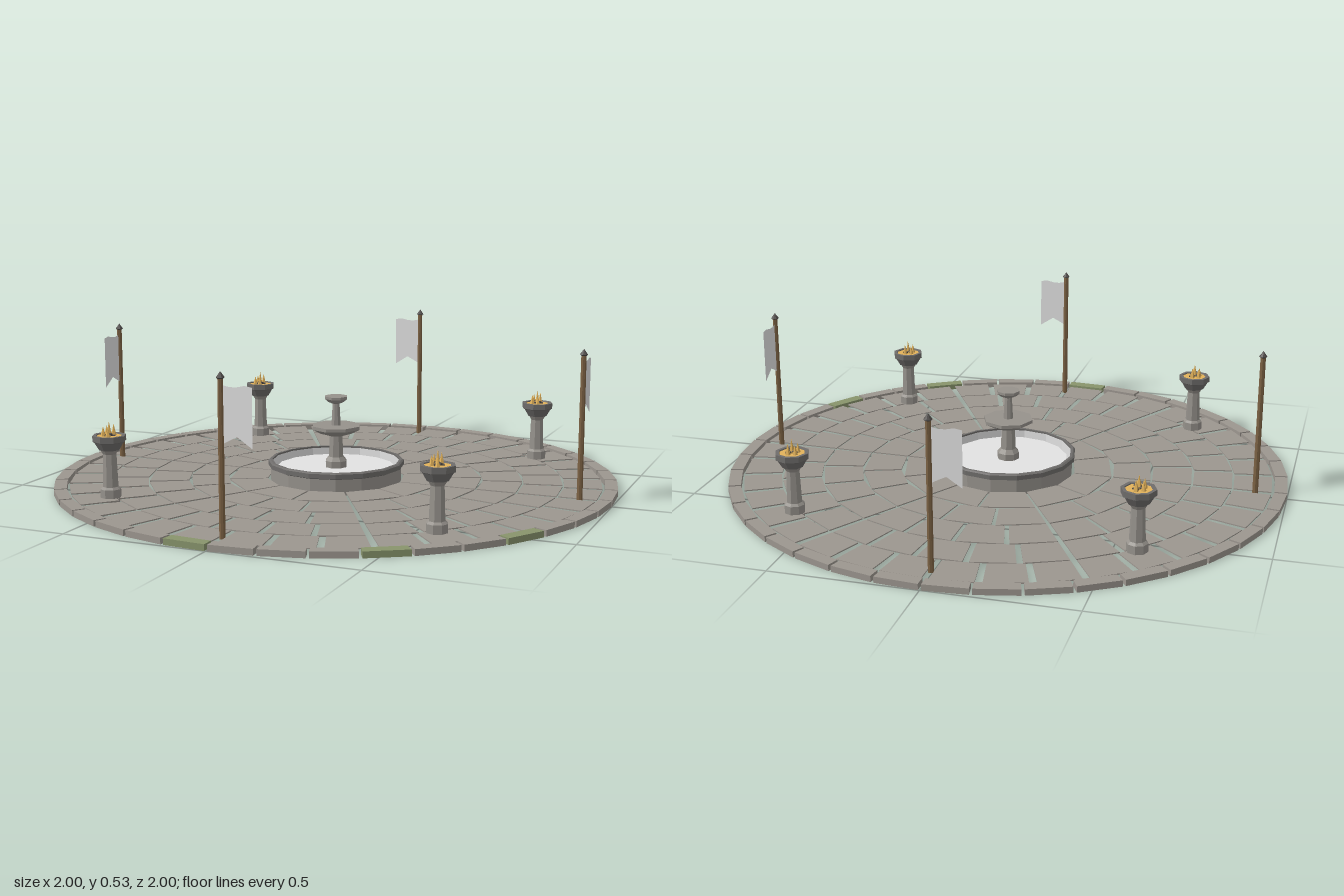
import * as THREE from 'three';
import { mergeGeometries } from 'three/addons/utils/BufferGeometryUtils.js';

const mat = (name, color, opts = {}) => {
  const m = new THREE.MeshStandardMaterial({ color, flatShading: true, ...opts });
  m.name = name;
  return m;
};

export function createModel() {
  const paving = mat('paving stone', 0x9c968f);
  const stone = mat('carved stone', 0x96928c);
  const darkStone = mat('dark stone', 0x6f6d6b);
  const moss = mat('moss', 0x88946c);
  const pale = mat('pale water and cloth', 0xe2e2e2, { side: THREE.DoubleSide });
  const wood = mat('pole wood', 0x7c6244);
  const iron = mat('iron', 0x504c4a);
  const flame = mat('flame', 0xe2b25a);

  const model = new THREE.Group();
  model.name = 'fountainPlaza';
  const add = (parent, name, geo, material, x = 0, y = 0, z = 0) => {
    const m = new THREE.Mesh(geo, material);
    m.name = name;
    m.position.set(x, y, z);
    parent.add(m);
    return m;
  };
  const group = (name) => {
    const g = new THREE.Group();
    g.name = name;
    model.add(g);
    return g;
  };
  // Faceted turned part from [radius, y] pairs, bottom to top
  const turned = (pts, sides) =>
    new THREE.LatheGeometry(pts.map(([r, y]) => new THREE.Vector2(r, y)), sides);

  // Wedge-shaped slab between two radii, two angles and two heights
  const slab = (r0, r1, a0, a1, y0, y1) => {
    const p = (r, a) => new THREE.Vector2(r * Math.cos(a), r * Math.sin(a));
    const shape = new THREE.Shape([p(r0, a0), p(r1, a0), p(r1, a1), p(r0, a1)]);
    return new THREE.ExtrudeGeometry(shape, { depth: y1 - y0, bevelEnabled: false })
      .rotateX(Math.PI / 2).translate(0, y1, 0);
  };

  // Five rings of thin paving, six more stones in each
  const radii = [0.247, 0.387, 0.527, 0.672, 0.814, 0.952];
  for (let i = 0; i < 5; i++) {
    const n = 12 + 6 * i, step = (Math.PI * 2) / n, gap = 0.013;
    const tiles = [];
    for (let k = 0; k < n; k++) {
      tiles.push(slab(radii[i], radii[i + 1] - 0.006, k * step + gap, (k + 1) * step - gap, 0.012, 0.016));
    }
    add(model, `pavingRing${i + 1}`, mergeGeometries(tiles), paving);
  }

  // Kerb of forty stones, three of them mossy
  const kerb = [], mossy = [];
  const kerbStep = Math.PI / 20;
  for (let k = 0; k < 40; k++) {
    const green = [3, 6, 10].includes(k);
    (green ? mossy : kerb).push(
      slab(0.956, 1, k * kerbStep + 0.005, (k + 1) * kerbStep - 0.005, 0, 0.021));
  }
  add(model, 'kerb', mergeGeometries(kerb), paving);
  add(model, 'mossyKerbStones', mergeGeometries(mossy), moss);

  // Fountain: open basin with a pale lining, rim, water and two tiers of bowls
  const fountain = group('fountain');
  add(fountain, 'basinWall', turned([[0.234, 0], [0.234, 0.06]], 16), stone);
  add(fountain, 'basinLining', turned([[0.229, 0.074], [0.229, 0]], 16), pale);
  add(fountain, 'basinRim', turned([[0.234, 0.056], [0.244, 0.06], [0.244, 0.076],
    [0.238, 0.08], [0.229, 0.08], [0.229, 0.074]], 16), darkStone);
  add(fountain, 'water', new THREE.CircleGeometry(0.214, 16).rotateX(-Math.PI / 2), pale, 0, 0.052, 0);
  add(fountain, 'lowerColumn',
    turned([[0, 0.05], [0.04, 0.05], [0.04, 0.075], [0.028, 0.09], [0.024, 0.175]], 8), stone);
  add(fountain, 'lowerBowl',
    turned([[0.024, 0.165], [0.06, 0.176], [0.09, 0.192], [0.09, 0.204], [0, 0.204]], 8), stone);
  add(fountain, 'upperColumn', turned([[0.018, 0.2], [0.013, 0.29]], 8), stone);
  add(fountain, 'upperBowl',
    turned([[0.013, 0.282], [0.03, 0.289], [0.042, 0.3], [0.042, 0.309], [0, 0.309]], 8), stone);

  // Four fire bowls on pillars
  for (const [x, z] of [[1, 1], [1, -1], [-1, -1], [-1, 1]]) {
    const torch = group('firePillar');
    torch.position.set(x * 0.583, 0, z * 0.583);
    add(torch, 'pillar', turned([[0, 0.002], [0.036, 0.002], [0.036, 0.045], [0.027, 0.053],
      [0.023, 0.165], [0.032, 0.18]], 8), stone);
    add(torch, 'fireBowl', turned([[0, 0.175], [0.036, 0.18], [0.052, 0.207], [0.058, 0.21],
      [0.058, 0.23], [0.046, 0.23], [0.042, 0.22]], 8), darkStone);
    add(torch, 'embers', new THREE.CircleGeometry(0.047, 8).rotateX(-Math.PI / 2), flame, 0, 0.2265, 0);
    for (let i = 0; i < 3; i++) {
      const log = add(torch, 'log', new THREE.CylinderGeometry(0.004, 0.004, 0.042, 5).rotateZ(Math.PI / 2),
        iron, 0, 0.228 + i * 0.003, 0);
      log.rotation.y = 0.4 + i * 1.05;
    }
    for (let i = 0; i < 5; i++) {
      const a = i * 2.51, r = i ? 0.02 : 0, h = i ? 0.03 + 0.006 * (i % 3) : 0.052;
      add(torch, 'flame', new THREE.ConeGeometry(0.01, h, 5), flame,
        r * Math.cos(a), 0.224 + h / 2, r * Math.sin(a));
    }
  }

  // Four flagpoles, each a quarter turn from the last
  const flagShape = new THREE.Shape([[0.006, 0.485], [0.006, 0.305], [0.03, 0.318], [0.054, 0.33],
    [0.08, 0.313], [0.105, 0.297], [0.105, 0.483], [0.08, 0.487], [0.054, 0.481], [0.03, 0.48]]
    .map(([px, py]) => new THREE.Vector2(px, py)));
  for (let i = 0; i < 4; i++) {
    const flagpole = group('flagpole');
    flagpole.rotation.y = (i * Math.PI) / 2;
    add(flagpole, 'pole', new THREE.CylinderGeometry(0.009, 0.01, 0.495, 8), wood, 0, 0.2575, 0.89);
    add(flagpole, 'finial', turned([[0, 0.497], [0.014, 0.508], [0, 0.527]], 8), iron, 0, 0, 0.89);
    add(flagpole, 'flag', new THREE.ShapeGeometry(flagShape), pale, 0, 0, 0.89);
  }
  return model;
}
